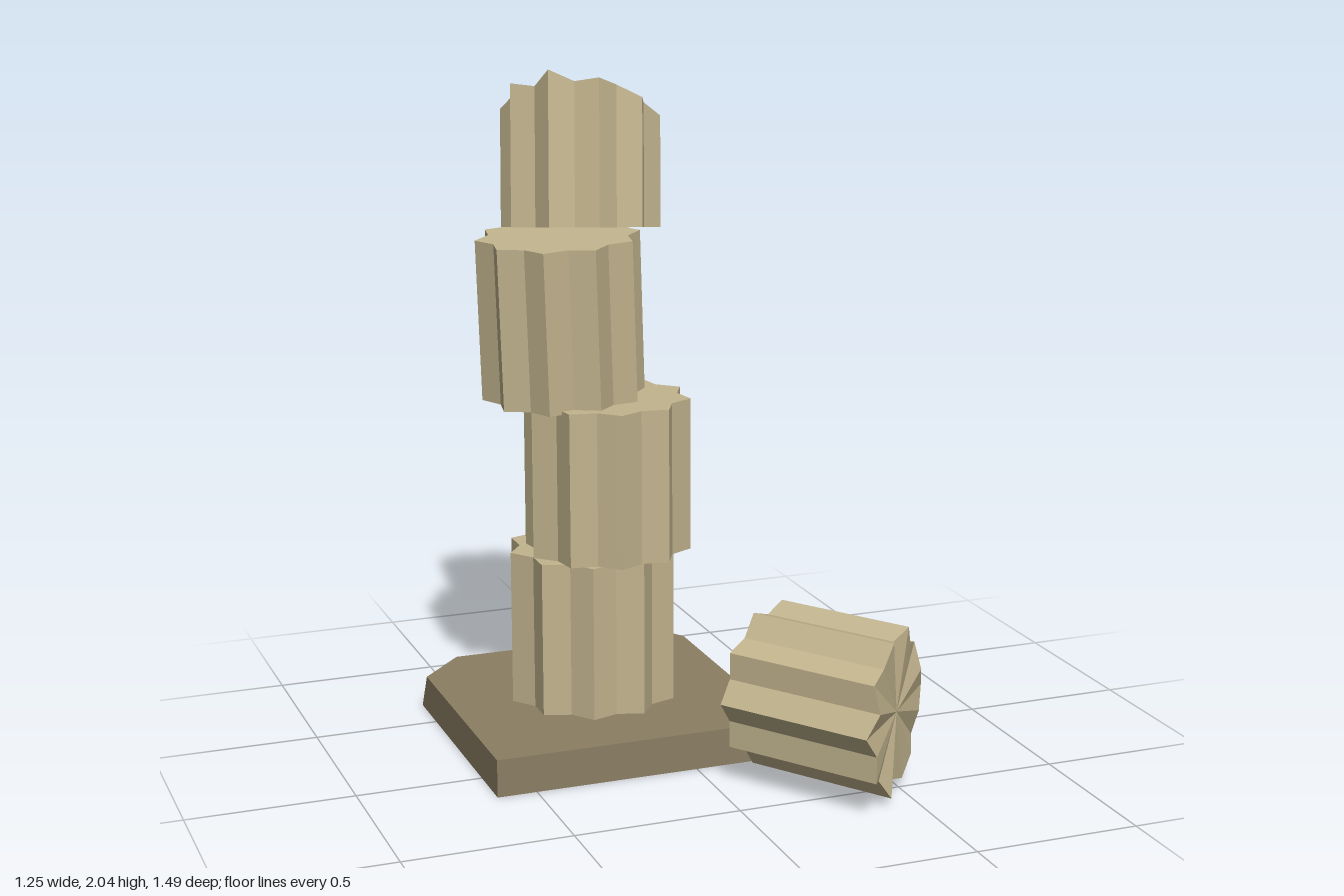
import * as THREE from 'three';

const stone = new THREE.MeshStandardMaterial({ color: 0xc2b48e, flatShading: true });
stone.name = 'sandstone';
const slabStone = new THREE.MeshStandardMaterial({ color: 0x8b7e63, flatShading: true, side: THREE.DoubleSide });
slabStone.name = 'weathered slab stone';

// Joins two rings of [x, y, z] points with walls, and fans a cap over each given centre
function loft(bottom, top, bottomCentre, topCentre) {
  const n = bottom.length;
  const pos = [];
  for (let i = 0; i < n; i++) {
    const j = (i + 1) % n;
    pos.push(...bottom[i], ...top[i], ...bottom[j]);
    pos.push(...top[i], ...top[j], ...bottom[j]);
    if (topCentre) pos.push(...topCentre, ...top[j], ...top[i]);
    if (bottomCentre) pos.push(...bottomCentre, ...bottom[i], ...bottom[j]);
  }
  const geo = new THREE.BufferGeometry();
  geo.setAttribute('position', new THREE.Float32BufferAttribute(pos, 3));
  geo.computeVertexNormals();
  return geo;
}

// Fluted drum with ten ridges; the top may be a slanted, uneven break
function drum({ name, radius, height, phase, at, rotation = [0, 0, 0], slope = [0, 0], rough = 0 }) {
  const bottom = [], top = [];
  for (let i = 0; i < 20; i++) {
    const a = THREE.MathUtils.degToRad(phase) + (i * Math.PI) / 10;
    const r = i % 2 ? radius * 0.85 : radius;
    const x = r * Math.cos(a), z = r * Math.sin(a);
    bottom.push([x, 0, z]);
    top.push([x, height + slope[0] * x + slope[1] * z + rough * Math.sin(i * 2.4), z]);
  }
  const mesh = new THREE.Mesh(loft(bottom, top, [0, 0, 0], [0, height, 0]), stone);
  mesh.name = name;
  mesh.position.set(...at);
  mesh.rotation.set(...rotation, 'YXZ');
  return mesh;
}

export function createModel() {
  const model = new THREE.Group();
  model.name = 'ruinedColumn';

  // Square slab, open beneath, with two chipped back corners
  const slabBottom = [[0.28, 0.16], [-0.62, 0.16], [-0.62, -0.66], [-0.54, -0.75], [0.14, -0.75], [0.28, -0.57]];
  const slabTop = [[0.28, 0.16], [-0.62, 0.16], [-0.62, -0.6], [-0.48, -0.75], [0.24, -0.75], [0.28, -0.68]];
  const ring = (points, y) => points.map(([x, z]) => [x, y, z]);
  const slab = new THREE.Mesh(
    loft(ring(slabBottom, 0), ring(slabTop, 0.115), null, [-0.17, 0.115, -0.3]), slabStone);
  slab.name = 'baseSlab';
  model.add(slab);

  // Stacked drums, drifting and leaning towards the top
  model.add(drum({ name: 'lowerDrum', radius: 0.26, height: 0.475, phase: 0, at: [-0.17, 0.115, -0.295] }));
  model.add(drum({ name: 'middleDrum', radius: 0.254, height: 0.47, phase: -9, at: [-0.13, 0.59, -0.26] }));
  model.add(drum({
    name: 'upperDrum', radius: 0.248, height: 0.49, phase: 10,
    at: [-0.24, 1.06, -0.338], rotation: [0.035, 0, 0.04],
  }));
  model.add(drum({
    name: 'brokenTopDrum', radius: 0.242, height: 0.35, phase: 23,
    at: [-0.15, 1.55, -0.433], rotation: [-0.15, 0, -0.055], slope: [-0.22, 0.35], rough: 0.012,
  }));

  // Fallen drum lying beside the slab
  model.add(drum({
    name: 'fallenDrum', radius: 0.246, height: 0.445, phase: 0,
    at: [0.212, 0.26, 0.19], rotation: [Math.PI / 2, 0.59, 0], slope: [-0.25, 0], rough: 0.015,
  }));

  return model;
}
